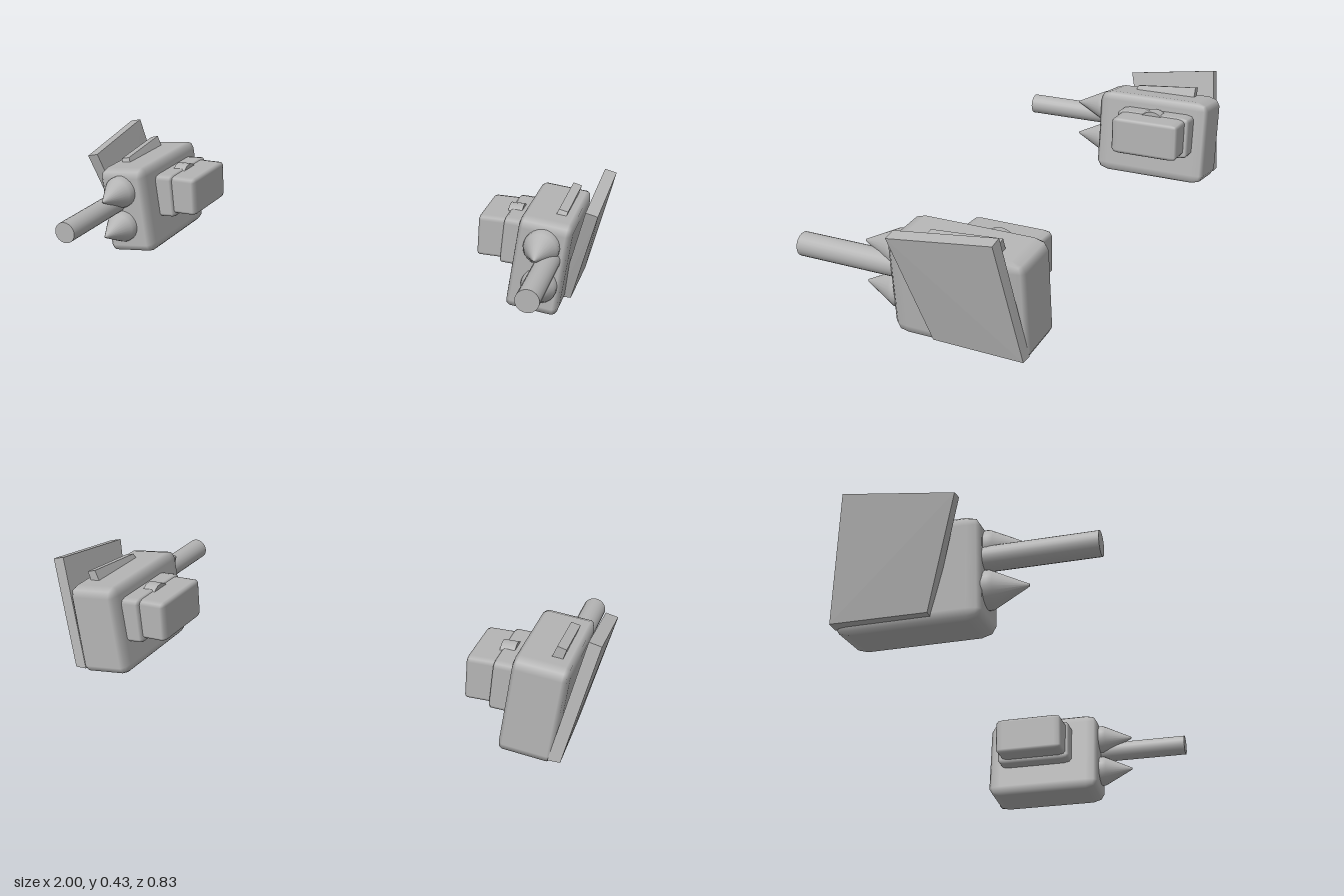
import * as THREE from 'three';
import { RoundedBoxGeometry } from 'three/addons/geometries/RoundedBoxGeometry.js';
import { ConvexGeometry } from 'three/addons/geometries/ConvexGeometry.js';

const grey = new THREE.MeshStandardMaterial({ color: 0xb4b4b4 });
grey.name = 'grey metal';

// Bevelled unit cube stretched to size, so the bevel stretches with it
function bevelBox(w, h, d) {
  return new RoundedBoxGeometry(1, 1, 1, 1, 0.1).scale(w, h, d);
}

// Builds one weapon pod; s = 1 for the left (+x) side, -1 for the right
function createPod(s) {
  const pod = new THREE.Group();
  const add = (name, geometry, x = 0, y = 0, z = 0, tilt = 0) => {
    const mesh = new THREE.Mesh(geometry, grey);
    mesh.name = name;
    mesh.position.set(x * s, y, z);
    mesh.rotation.z = tilt * s;
    pod.add(mesh);
  };
  const hull = (points) =>
    new ConvexGeometry(points.map(([x, y, z]) => new THREE.Vector3(x * s, y, z)));

  // Main housing, leaning outward
  add('housing', bevelBox(0.186, 0.34, 0.47), 0.807, 0.178, -0.18, -0.1);

  // Mount on the inner side
  add('mountPlate', bevelBox(0.09, 0.17, 0.31), 0.7, 0.22, -0.207, -0.05);
  add('mountBlock', bevelBox(0.12, 0.15, 0.28), 0.625, 0.226, -0.205);
  add('mountPivot', new THREE.CylinderGeometry(0.06, 0.06, 0.05, 20).rotateZ(Math.PI / 2),
    0.678, 0.258, -0.205);

  // Barrel and the two pointed noses
  add('barrel', new THREE.CylinderGeometry(0.04, 0.04, 0.44, 24).rotateX(Math.PI / 2),
    0.844, 0.216, 0.195);
  const nose = [[0.062, 0], [0.062, 0.03], [0.055, 0.045], [0.004, 0.15], [0, 0.15]]
    .map(([r, h]) => new THREE.Vector2(r, h));
  for (const y of [0.122, 0.263]) {
    add('nose', new THREE.LatheGeometry(nose, 24).rotateX(Math.PI / 2), 0.818, y, 0.038);
  }

  // Leaning side shield: outer corners, then the same pushed inward
  const outer = [[0.99, 0.374, 0], [1, 0.424, -0.362], [0.912, 0.023, -0.413], [0.908, 0.023, -0.102]];
  const inner = outer.map(([x, y, z], i) => [x - 0.042, y + (i < 2 ? 0.01 : 0), z]);
  add('sideShield', hull([...outer, ...inner]));

  // Fin along the top
  add('topFin', hull([
    [0.835, 0.33, -0.06], [0.873, 0.33, -0.06], [0.848, 0.362, -0.07], [0.88, 0.355, -0.07],
    [0.835, 0.33, -0.32], [0.873, 0.33, -0.32], [0.855, 0.383, -0.32], [0.886, 0.375, -0.32],
  ]));
  return pod;
}

export function createModel() {
  const model = new THREE.Group();
  model.name = 'twinWeaponPods';
  for (const s of [1, -1]) {
    const pod = createPod(s);
    pod.name = s > 0 ? 'leftPod' : 'rightPod';
    model.add(pod);
  }
  return model;
}
